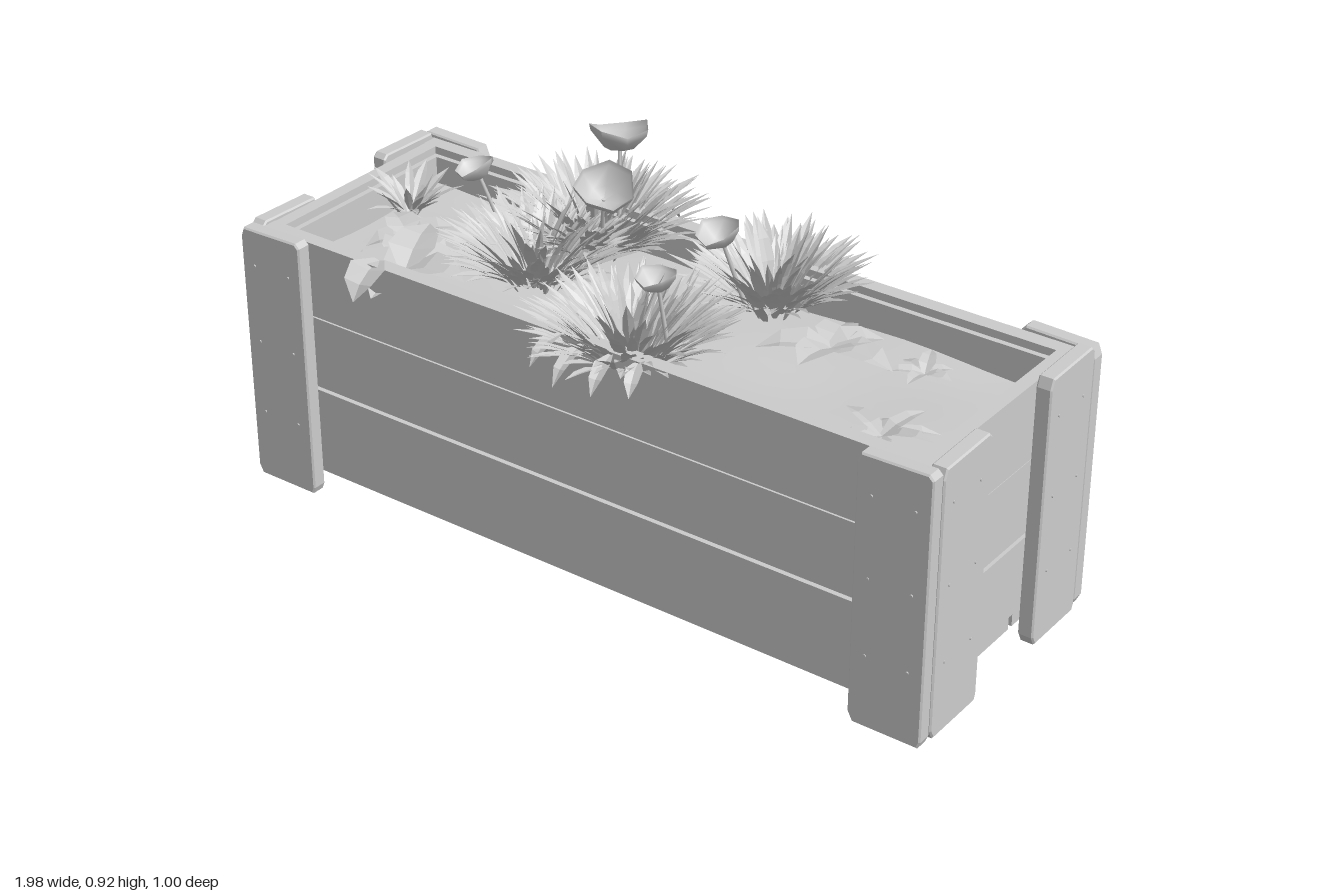
import * as THREE from 'three';

const wood = new THREE.MeshStandardMaterial({ color: 0xcccccc });
const foliage = new THREE.MeshStandardMaterial({ color: 0xcccccc, side: THREE.DoubleSide });

// Small seeded generator
function seeded(seed) {
  let s = seed;
  return () => (s = (s * 16807) % 2147483647) / 2147483647;
}

function add(parent, name, geometry, material, x = 0, y = 0, z = 0) {
  const mesh = new THREE.Mesh(geometry, material);
  mesh.name = name;
  mesh.position.set(x, y, z);
  parent.add(mesh);
  return mesh;
}

// Box given by its extents on each axis
function slab(parent, name, [x0, x1], [y0, y1], [z0, z1]) {
  return add(parent, name, new THREE.BoxGeometry(x1 - x0, y1 - y0, z1 - z0), wood,
    (x0 + x1) / 2, (y0 + y1) / 2, (z0 + z1) / 2);
}

// Upright board with worn, chamfered ends; width along x, thickness along z, both centred
function boardGeometry(width, height, thick, wear) {
  const w = width / 2, b = 0.004;
  const s = new THREE.Shape();
  s.moveTo(-w + wear, 0);
  s.lineTo(w - wear * 0.6, 0);
  s.lineTo(w, wear * 1.5);
  s.lineTo(w, height - 0.012);
  s.lineTo(w - 0.012, height);
  s.lineTo(-w + 0.01, height - 0.004);
  s.lineTo(-w, height - 0.03);
  s.lineTo(-w, wear * 2);
  s.closePath();
  const g = new THREE.ExtrudeGeometry(s, {
    depth: thick - 2 * b, bevelEnabled: true, bevelSize: b, bevelOffset: -b, bevelThickness: b, bevelSegments: 1,
  });
  return g.translate(0, 0, b - thick / 2);
}

// Bent, folded leaf blade appended to a triangle list
function leaf(out, base, azimuth, tilt, length, width, droop) {
  const side = new THREE.Vector3(-Math.sin(azimuth), 0, Math.cos(azimuth));
  const p = base.clone();
  const rows = [];
  const widths = [0.3, 1, 0.8, 0.02];
  widths.forEach((k, i) => {
    const a = tilt - droop * i / 3;
    const dir = new THREE.Vector3(Math.cos(azimuth) * Math.cos(a), Math.sin(a), Math.sin(azimuth) * Math.cos(a));
    if (i) p.addScaledVector(dir, length / 3);
    const up = new THREE.Vector3().crossVectors(side, dir);
    if (up.y < 0) up.negate();
    const edge = (d) => p.clone().addScaledVector(side, d * k * width / 2).addScaledVector(up, k * width * 0.15);
    rows.push([edge(-1), p.clone(), edge(1)]);
  });
  for (let i = 0; i < 3; i++) {
    for (let j = 0; j < 2; j++) {
      const a = rows[i][j], b = rows[i][j + 1], c = rows[i + 1][j + 1], d = rows[i + 1][j];
      for (const v of [a, b, c, a, c, d]) out.push(v.x, v.y, v.z);
    }
  }
}

function leafMesh(parent, name, positions) {
  const g = new THREE.BufferGeometry();
  g.setAttribute('position', new THREE.Float32BufferAttribute(positions, 3));
  g.computeVertexNormals();
  return add(parent, name, g, foliage);
}

// Dense dome of short blades
function tuft(parent, x, z, radius, height, count, seed) {
  const rnd = seeded(seed), out = [];
  for (let i = 0; i < count; i++) {
    const az = i * 2.39996 + rnd() * 0.4;
    const f = Math.sqrt((i + 0.5) / count);
    const r = radius * 0.62 * f;
    const base = new THREE.Vector3(x + Math.cos(az) * r, 0.6 + height * 0.4 * (1 - f * 0.35) * rnd(), z + Math.sin(az) * r);
    if (f > 0.6) base.y = Math.max(base.y, 0.66);
    const tilt = 1.5 - f * (0.75 + rnd() * 0.35);
    leaf(out, base, az, tilt, height * (0.5 + rnd() * 0.25), 0.018 + rnd() * 0.016, 0.1 + rnd() * 0.3);
  }
  leafMesh(parent, 'grassTuft', out);
}

// Rosette of broad leaves
function rosette(parent, x, y, z, length, width, count, seed) {
  const rnd = seeded(seed), out = [];
  for (let i = 0; i < count; i++) {
    const az = (i + rnd() * 0.5) * Math.PI * 2 / count;
    leaf(out, new THREE.Vector3(x, y, z), az, 0.3 + rnd() * 0.4, length * (0.75 + rnd() * 0.4), width, 0.7);
  }
  leafMesh(parent, 'broadLeaves', out);
}

// Faceted cup-shaped bloom on a stem
function bloom(parent, x, y, z, r, tiltX, tiltZ) {
  const g = new THREE.Group();
  g.name = 'bloom';
  g.position.set(x, y, z);
  g.rotation.set(tiltX, 0, tiltZ);
  const profile = [[0.001, -0.35], [0.5, -0.25], [0.95, 0.2], [1, 0.42]].map(([a, b]) => new THREE.Vector2(a * r, b * r));
  const cup = new THREE.LatheGeometry(profile, 7);
  const pos = cup.attributes.position;
  for (let i = 0; i < pos.count; i++) {
    const a = Math.atan2(pos.getZ(i), pos.getX(i));
    if (pos.getY(i) > 0) pos.setY(i, pos.getY(i) + r * 0.15 * Math.sin(2 * a + x * 9));
  }
  cup.computeVertexNormals();
  add(g, 'petals', cup, foliage);
  add(g, 'stem', new THREE.CylinderGeometry(0.005, 0.006, 0.18, 5), foliage, 0, -0.09 - r * 0.3, 0);
  parent.add(g);
}

export function createModel() {
  const model = new THREE.Group();
  model.name = 'planter';

  // Three planks per wall, a hair apart
  const walls = new THREE.Group();
  walls.name = 'walls';
  model.add(walls);
  for (let i = 0; i < 3; i++) {
    const y = [0.1 + i * 0.2, 0.293 + i * 0.2 + (i === 2 ? 0.007 : 0)];
    const lean = i === 1 ? 0.004 : 0;
    for (const s of [1, -1]) {
      const long = slab(walls, 'longPlank', [-0.95, 0.95], y, [0.28, 0.32 - lean]);
      long.position.z *= s;
      const end = slab(walls, 'endPlank', [0.91, 0.945 - lean], y, [-0.28, 0.28]);
      end.position.x *= s;
    }
  }
  // Thin liner closing the gaps between planks
  for (const s of [1, -1]) {
    slab(walls, 'longLiner', [-0.91, 0.91], [0.1, 0.68], [0.265, 0.281]).position.z *= s;
    slab(walls, 'endLiner', [0.895, 0.911], [0.1, 0.68], [-0.27, 0.27]).position.x *= s;
  }

  // Floor boards
  for (const z of [[0.125, 0.32], [-0.092, 0.11], [-0.315, -0.108]]) {
    slab(model, 'floorBoard', [-0.94, 0.94], [0.06, 0.1], z);
  }

  // Corner posts: one board across the face, one across the end, with nail heads
  const nail = new THREE.CylinderGeometry(0.004, 0.004, 0.004, 6).rotateX(Math.PI / 2);
  for (const sx of [1, -1]) {
    for (const sz of [1, -1]) {
      const post = new THREE.Group();
      post.name = 'cornerPost';
      model.add(post);
      const face = add(post, 'faceBoard', boardGeometry(0.19, 0.7, 0.04, 0.012), wood, sx * 0.89, 0.01, sz * 0.342);
      const end = add(post, 'endBoard', boardGeometry(0.195, sz > 0 ? 0.7 : 0.71, 0.04, 0.012), wood, sx * 0.967, 0.01, sz * 0.223);
      if (sz < 0) face.rotation.y = Math.PI;
      end.rotation.y = sx * Math.PI / 2;
      for (const y of [0.19, 0.39, 0.6]) {
        for (const x of [-0.055, 0.055]) {
          for (const board of [face, end]) add(board, 'nail', nail, wood, x, y, 0.021);
        }
      }
    }
  }

  // Gently uneven soil
  const soil = new THREE.PlaneGeometry(1.8, 0.54, 24, 8).rotateX(-Math.PI / 2);
  const p = soil.attributes.position;
  for (let i = 0; i < p.count; i++) p.setY(i, 0.008 * Math.sin(p.getX(i) * 9) * Math.cos(p.getZ(i) * 11));
  soil.computeVertexNormals();
  add(model, 'soil', soil, foliage, 0, 0.6, 0);

  const plants = new THREE.Group();
  plants.name = 'plants';
  model.add(plants);

  // Grass tufts: x, z, radius, height, blade count
  [
    [-0.33, -0.2, 0.23, 0.25, 230],
    [-0.34, 0.02, 0.2, 0.23, 190],
    [0.2, -0.2, 0.19, 0.23, 170],
    [0.08, 0.2, 0.22, 0.23, 220],
    [-0.79, -0.04, 0.06, 0.17, 22],
  ].forEach(([x, z, r, h, n], i) => tuft(plants, x, z, r, h, n, 101 + i * 977));

  // Broad leaves: x, y, z, length, width, count
  [
    [-0.72, 0.63, 0.05, 0.14, 0.09, 6],
    [-0.6, 0.64, 0.2, 0.19, 0.12, 5],
    [0.44, 0.64, -0.08, 0.16, 0.1, 5],
    [0.72, 0.61, 0.14, 0.12, 0.045, 8],
    [0.65, 0.61, -0.15, 0.09, 0.04, 6],
    [-0.55, 0.64, -0.06, 0.11, 0.06, 6],
    [0.0, 0.63, 0.02, 0.12, 0.06, 5],
  ].forEach(([x, y, z, l, w, n], i) => rosette(plants, x, y, z, l, w, n, 31 + i * 613));

  // Leaves spilling over the rims
  const spill = [];
  for (const [x, z, az, len, w] of [
    [-0.6, 0.29, 1.5, 0.13, 0.1], [-0.03, 0.32, 1.8, 0.11, 0.04], [0.04, 0.33, 1.6, 0.13, 0.04],
    [0.12, 0.33, 1.4, 0.12, 0.04], [0.19, 0.32, 1.2, 0.1, 0.04], [-0.36, -0.3, -1.7, 0.16, 0.05], [-0.26, -0.31, -1.4, 0.15, 0.05],
  ]) leaf(spill, new THREE.Vector3(x, 0.7, z), az, 0.2, len, w, 1.1);
  leafMesh(plants, 'spillingLeaves', spill);

  // Blooms: x, y, z, radius, tilts
  [
    [-0.31, 0.885, -0.275, 0.075, -0.15, 0.1],
    [-0.21, 0.845, -0.08, 0.075, 0.35, -0.3],
    [0.15, 0.85, -0.05, 0.055, 0.3, 0.15],
    [0.14, 0.825, 0.18, 0.05, 0.1, 0.1],
    [-0.55, 0.83, -0.02, 0.05, 0.2, 0.3],
  ].forEach((b) => bloom(plants, ...b));

  return model;
}
